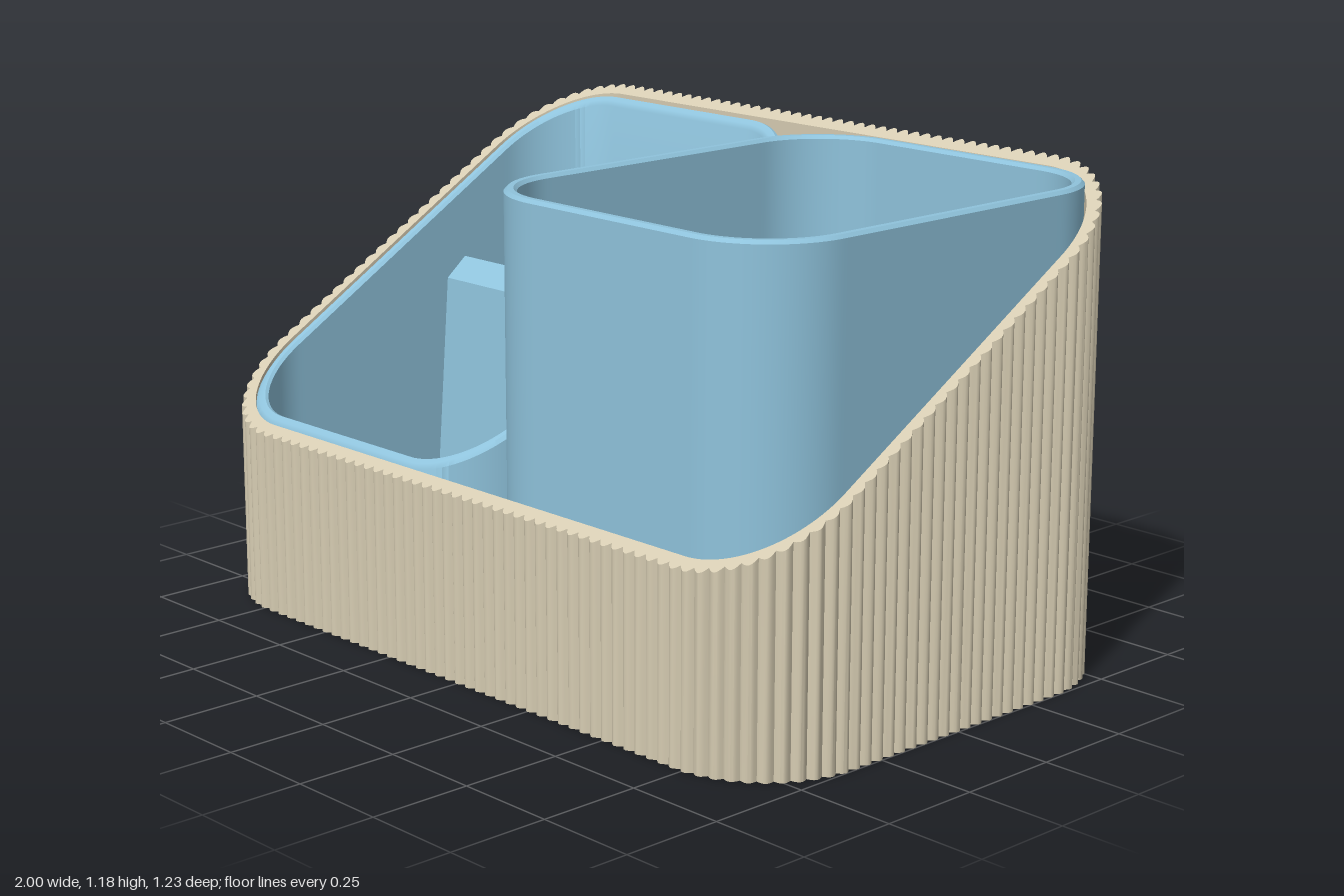
import * as THREE from 'three';
import { toCreasedNormals } from 'three/addons/utils/BufferGeometryUtils.js';

const tan = new THREE.MeshStandardMaterial({ color: 0xd6ccb2 });
const blue = new THREE.MeshStandardMaterial({ color: 0x8fc3dc });

// Height of the sloping rim plane, low at the front and high at the back
const slope = (x, z) => 0.817 - 0.5976 * z;

// Point and outward normal at fraction t around a rounded rectangle
function outline(hx, hz, r, t) {
  const a = hx - r, b = hz - r, arc = Math.PI * r / 2;
  let s = t * (4 * a + 4 * b + 4 * arc);
  const corners = [[a, b], [-a, b], [-a, -b], [a, -b]];
  const sides = [2 * b, 2 * a, 2 * b, 2 * a];
  for (let k = 0; k < 4; k++) {
    const [cx, cz] = corners[k], ang = k * Math.PI / 2;
    const nx = Math.cos(ang), nz = Math.sin(ang);
    if (s <= sides[k]) {
      const back = sides[k] - s;
      return { x: cx + nx * r + nz * back, z: cz + nz * r - nx * back, nx, nz };
    }
    s -= sides[k];
    if (s <= arc || k === 3) {
      const q = ang + Math.min(s, arc) / r;
      const ux = Math.cos(q), uz = Math.sin(q);
      return { x: cx + ux * r, z: cz + uz * r, nx: ux, nz: uz };
    }
    s -= arc;
  }
}

// Horizontal or sloping ring: offset and height may vary around the outline
function ring(size, n, offset, height) {
  return Array.from({ length: n }, (_, i) => {
    const p = outline(...size, i / n), o = offset(i);
    const x = p.x + p.nx * o, z = p.z + p.nz * o;
    return [x, height(x, z), z];
  });
}

// Join rings from the underside, over the rim, to the inner floor
function loft(rings) {
  const n = rings[0].length, pos = [];
  const tri = (a, b, c) => pos.push(...a, ...b, ...c);
  const first = rings[0], last = rings[rings.length - 1];
  const c0 = [0, first[0][1], 0], c1 = [0, last[0][1], 0];
  for (let i = 0; i < n; i++) {
    const j = (i + 1) % n;
    tri(c0, first[i], first[j]);
    for (let k = 0; k + 1 < rings.length; k++) {
      const lo = rings[k], hi = rings[k + 1];
      tri(lo[i], hi[i], lo[j]);
      tri(lo[j], hi[i], hi[j]);
    }
    tri(last[i], c1, last[j]);
  }
  const g = new THREE.BufferGeometry();
  g.setAttribute('position', new THREE.Float32BufferAttribute(pos, 3));
  return toCreasedNormals(g, 0.6);
}

function named(geometry, material, name) {
  const mesh = new THREE.Mesh(geometry, material);
  mesh.name = name;
  return mesh;
}

// Ribbed outer holder with a sloping top
function makeHolder() {
  const ribs = 164, per = 6, n = ribs * per, depth = 0.013;
  const size = [1 - depth, 0.615 - depth, 0.26];
  const rib = i => depth * Math.abs(Math.sin(Math.PI * i / per));
  const inner = () => -0.022;
  return named(loft([
    ring(size, n, rib, () => 0),
    ring(size, n, rib, slope),
    ring(size, n, inner, slope),
    ring(size, n, inner, () => 0.03),
  ]), tan, 'ribbedHolder');
}

// Cup with rounded rim and a leaning divider
function makeCup(name, x, top) {
  const cup = new THREE.Group(), n = 240, size = [0.4775, 0.575, 0.225];
  cup.name = name;
  cup.position.x = x;
  const at = (o, h) => ring(size, n, () => o, h);
  cup.add(named(loft([
    at(-0.01, () => 0.032),
    at(0, () => 0.042),
    at(0, (px, pz) => top(px, pz) - 0.008),
    at(-0.008, top),
    at(-0.022, top),
    at(-0.03, (px, pz) => top(px, pz) - 0.008),
    at(-0.03, () => 0.062),
  ]), blue, name + 'Shell'));

  // Divider side profile, drawn in (-z, y) and extruded across the cup
  const profile = new THREE.Shape([[0.09, 0.06], [0.15, 0.06], [0.2, 0.75], [0.14, 0.7]]
    .map(p => new THREE.Vector2(...p)));
  const g = new THREE.ExtrudeGeometry(profile, { depth: 0.9, bevelEnabled: false });
  g.translate(0, 0, -0.45).rotateY(Math.PI / 2);
  cup.add(named(g, blue, name + 'Divider'));
  return cup;
}

export function createModel() {
  const model = new THREE.Group();
  model.name = 'deskOrganizer';
  model.add(
    makeHolder(),
    makeCup('slopedCup', -0.4825, slope),
    makeCup('tallCup', 0.4785, () => 1.165),
  );
  return model;
}
